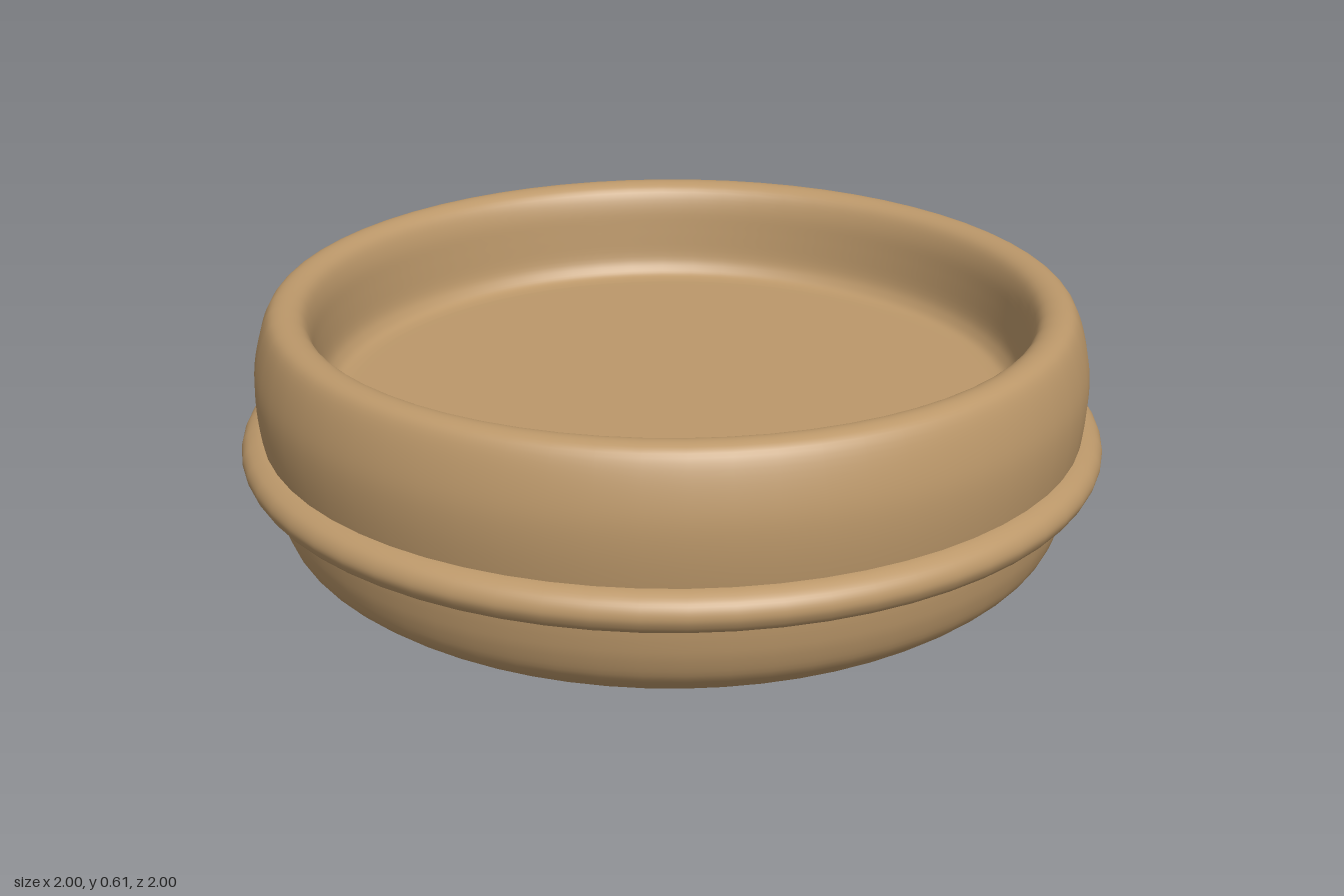
import * as THREE from 'three';

const SEGMENTS = 64;

// Smooth curve through a few [radius, height] points
function profile(points, samples) {
  const curve = new THREE.SplineCurve(points.map(([r, y]) => new THREE.Vector2(r, y)));
  return curve.getPoints(samples);
}

function turned(name, points, material) {
  const mesh = new THREE.Mesh(new THREE.LatheGeometry(points, SEGMENTS), material);
  mesh.name = name;
  return mesh;
}

export function createModel() {
  const group = new THREE.Group();
  group.name = 'shallowDish';
  const clay = new THREE.MeshStandardMaterial({ color: 0xbc986a });
  clay.name = 'tan clay';

  // Chamfered base, bulging wall and rolled rim, then down the inside to the floor
  const wall = profile([
    [0.70, 0], [0.75, 0.003], [0.805, 0.018], [0.855, 0.048], [0.898, 0.088], [0.92, 0.14],
    [0.93, 0.19], [0.936, 0.24], [0.951, 0.32], [0.96, 0.4], [0.959, 0.47], [0.945, 0.54],
    [0.925, 0.591], [0.9, 0.61], [0.868, 0.61], [0.842, 0.592], [0.827, 0.55], [0.821, 0.49],
    [0.815, 0.425], [0.803, 0.395], [0.785, 0.378], [0.755, 0.373],
  ], 84);
  const bodyProfile = [
    new THREE.Vector2(0, 0), new THREE.Vector2(0.68, 0),
    ...wall,
    new THREE.Vector2(0.73, 0.373), new THREE.Vector2(0, 0.373),
  ];
  group.add(turned('dishBody', bodyProfile, clay));

  // Raised band around the waist
  const band = profile([
    [0.92, 0.23], [0.96, 0.231], [0.983, 0.241], [0.996, 0.26], [1, 0.277],
    [0.995, 0.295], [0.982, 0.31], [0.958, 0.321], [0.93, 0.322],
  ], 24);
  group.add(turned('waistBand', band, clay));

  return group;
}
